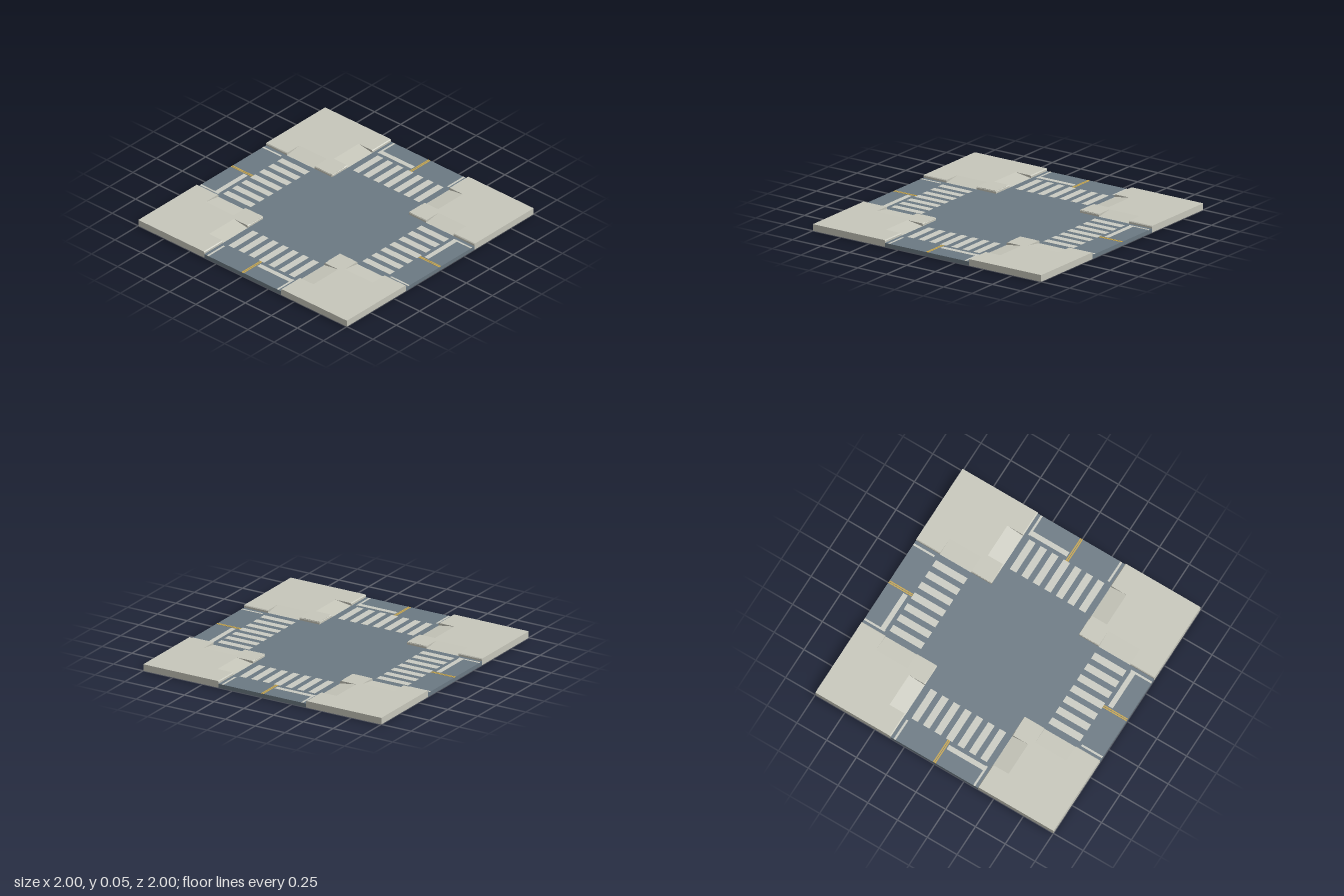
import * as THREE from 'three';

const EDGE = 0.367;      // kerb line
const RAMP_END = 0.5;    // where the dropped kerb reaches full height
const NEAR = 0.535;      // crossing, inner side
const FAR = 0.8;         // crossing, outer side
const ROAD_Y = 0.03;
const WALK_Y = 0.05;
const BEVEL = 0.006;

const asphalt = new THREE.MeshStandardMaterial({ name: 'asphalt', color: 0x6b7983 });
const concrete = new THREE.MeshStandardMaterial({ name: 'concrete', color: 0xc7c7bb });
const whitePaint = new THREE.MeshStandardMaterial({ name: 'white paint', color: 0xcacbc2 });
const yellowPaint = new THREE.MeshStandardMaterial({ name: 'yellow paint', color: 0xcba74a });

function add(parent, name, geometry, material) {
  const mesh = new THREE.Mesh(geometry, material);
  mesh.name = name;
  parent.add(mesh);
  return mesh;
}

// Box given by its extents
function block(parent, name, material, x0, x1, y0, y1, z0, z1) {
  const mesh = add(parent, name, new THREE.BoxGeometry(x1 - x0, y1 - y0, z1 - z0), material);
  mesh.position.set((x0 + x1) / 2, (y0 + y1) / 2, (z0 + z1) / 2);
}

// Thin painted plate lying on the road
function paint(parent, name, material, x0, x1, z0, z1) {
  block(parent, name, material, x0, x1, ROAD_Y - 0.002, ROAD_Y + 0.001, z0, z1);
}

// Profile in x and y, swept along z
function strip(parent, name, points, z0, z1) {
  const shape = new THREE.Shape(points.map(([x, y]) => new THREE.Vector2(x, y)));
  const geometry = new THREE.ExtrudeGeometry(shape, { depth: z1 - z0, bevelEnabled: false });
  geometry.translate(0, 0, z0);
  add(parent, name, geometry, concrete);
}

const kerbProfile = [
  [EDGE, 0], [RAMP_END, 0], [RAMP_END, WALK_Y], [EDGE + BEVEL, WALK_Y], [EDGE, WALK_Y - BEVEL],
];
const rampProfile = [[EDGE, 0], [RAMP_END, 0], [RAMP_END, WALK_Y], [EDGE, ROAD_Y]];

// One arm, running out along +z; four turned copies make the junction
function createArm() {
  const arm = new THREE.Group();
  arm.name = 'arm';

  // Pavement corner and the kerbs on both sides of the road
  block(arm, 'pavement', concrete, RAMP_END, 1, 0, WALK_Y, RAMP_END, 1);
  for (const turned of [false, true]) {
    const side = new THREE.Group();
    side.name = turned ? 'rightKerb' : 'leftKerb';
    const s = turned ? -1 : 1;
    const run = (name, profile, a, b) => strip(side, name, profile, Math.min(s * a, s * b), Math.max(s * a, s * b));
    run('cornerKerb', kerbProfile, EDGE + BEVEL / 2, NEAR);
    run('ramp', rampProfile, NEAR, FAR);
    run('outerKerb', kerbProfile, FAR, 1);
    if (turned) side.rotation.y = Math.PI;
    arm.add(side);
  }

  // Zebra crossing
  for (let i = -3; i <= 3; i++) {
    paint(arm, 'crossingStripe', whitePaint, i * 0.0965 - 0.027, i * 0.0965 + 0.027, NEAR, FAR);
  }

  // Edge lines, stop line and double centre line
  for (const s of [-1, 1]) {
    paint(arm, 'edgeLine', whitePaint, s * 0.334 - 0.008, s * 0.334 + 0.008, 0.825, 1);
    paint(arm, 'centreLine', yellowPaint, s * 0.0065 - 0.0045, s * 0.0065 + 0.0045, FAR, 1);
  }
  paint(arm, 'stopLine', whitePaint, 0.02, 0.326, 0.829, 0.867);
  return arm;
}

export function createModel() {
  const model = new THREE.Group();
  model.name = 'crossroads';

  // Road slab in the shape of a cross
  const e = EDGE;
  const outline = [
    [-e, -1], [e, -1], [e, -e], [1, -e], [1, e], [e, e],
    [e, 1], [-e, 1], [-e, e], [-1, e], [-1, -e], [-e, -e],
  ];
  const cross = new THREE.Shape(outline.map(([x, y]) => new THREE.Vector2(x, y)));
  const slab = new THREE.ExtrudeGeometry(cross, { depth: ROAD_Y, bevelEnabled: false });
  slab.rotateX(-Math.PI / 2);
  add(model, 'road', slab, asphalt);

  for (let i = 0; i < 4; i++) {
    const arm = createArm();
    arm.rotation.y = i * Math.PI / 2;
    model.add(arm);
  }
  return model;
}
